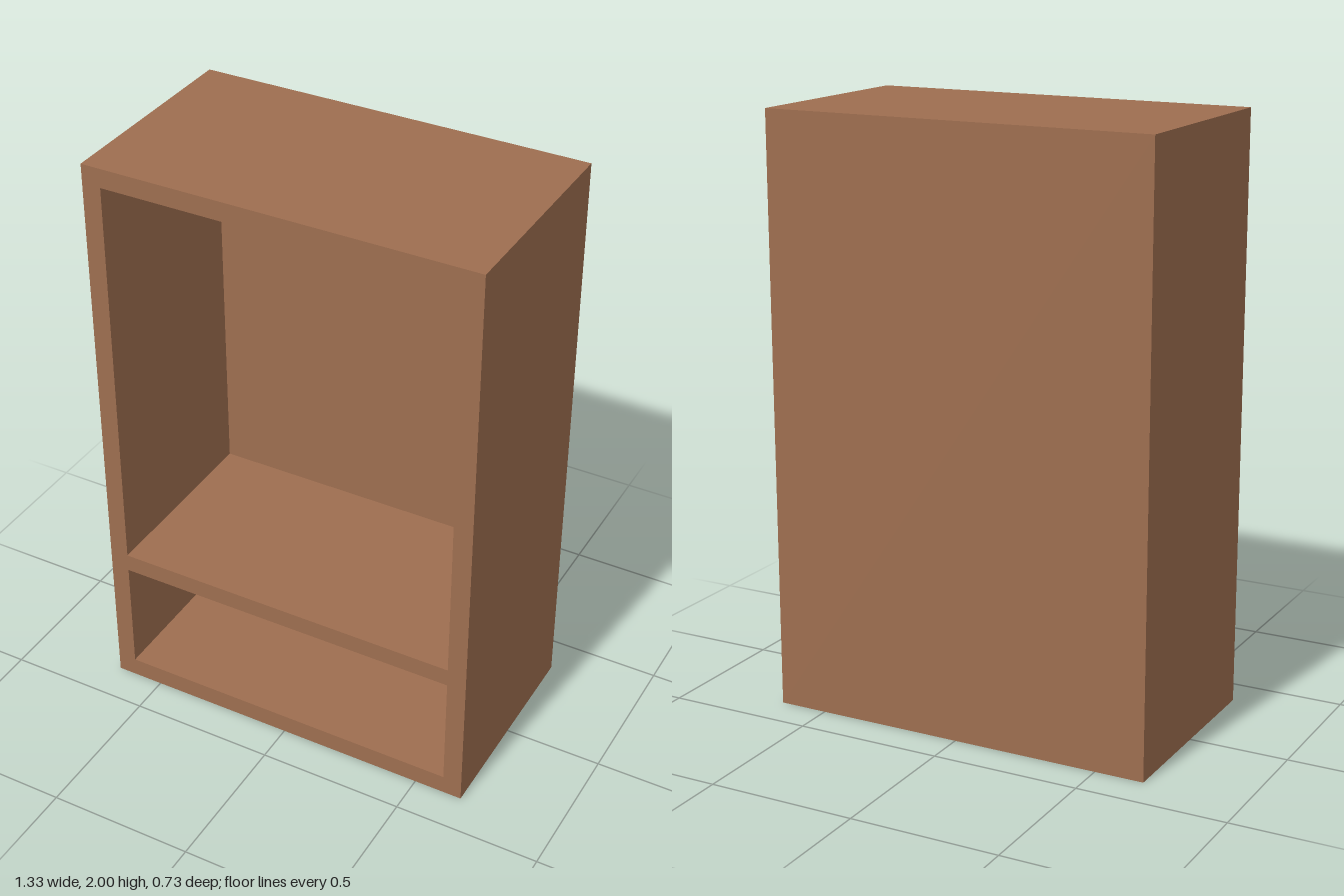
import * as THREE from 'three';

const W = 1.333, H = 2, D = 0.733, T = 0.065; // overall size and board thickness

// Rectangle outline from corner to corner
function rect(PathType, x0, y0, x1, y1) {
  return new PathType([[x0, y0], [x1, y0], [x1, y1], [x0, y1]].map(([x, y]) => new THREE.Vector2(x, y)));
}

export function createModel() {
  const wood = new THREE.MeshStandardMaterial({ name: 'brown wood', color: 0x9e6e50 });
  const metal = new THREE.MeshStandardMaterial({ name: 'grey metal', color: 0xaaaaaa });
  const model = new THREE.Group();
  model.name = 'wardrobe';

  const add = (name, geometry, material, x, y, z) => {
    const mesh = new THREE.Mesh(geometry, material);
    mesh.name = name;
    mesh.position.set(x, y, z);
    model.add(mesh);
    return mesh;
  };

  // Sides, top, shelf and bottom as one frame with two open compartments
  const inner = W / 2 - T;
  const frame = rect(THREE.Shape, -W / 2, 0, W / 2, H);
  frame.holes.push(
    rect(THREE.Path, -inner, 0.067, inner, 0.47),
    rect(THREE.Path, -inner, 0.533, inner, H - T)
  );
  add('frame', new THREE.ExtrudeGeometry(frame, { depth: D - T, bevelEnabled: false }), wood, 0, 0, -D / 2 + T);

  // Back board closing the frame
  add('backPanel', new THREE.BoxGeometry(W, H, T), wood, 0, H / 2, -D / 2 + T / 2);

  // Hanging rail spanning the upper compartment
  const rail = add('hangingRail', new THREE.CylinderGeometry(0.048, 0.048, inner * 2, 32), metal, 0, 1.802, 0.075);
  rail.rotation.z = Math.PI / 2;

  return model;
}
